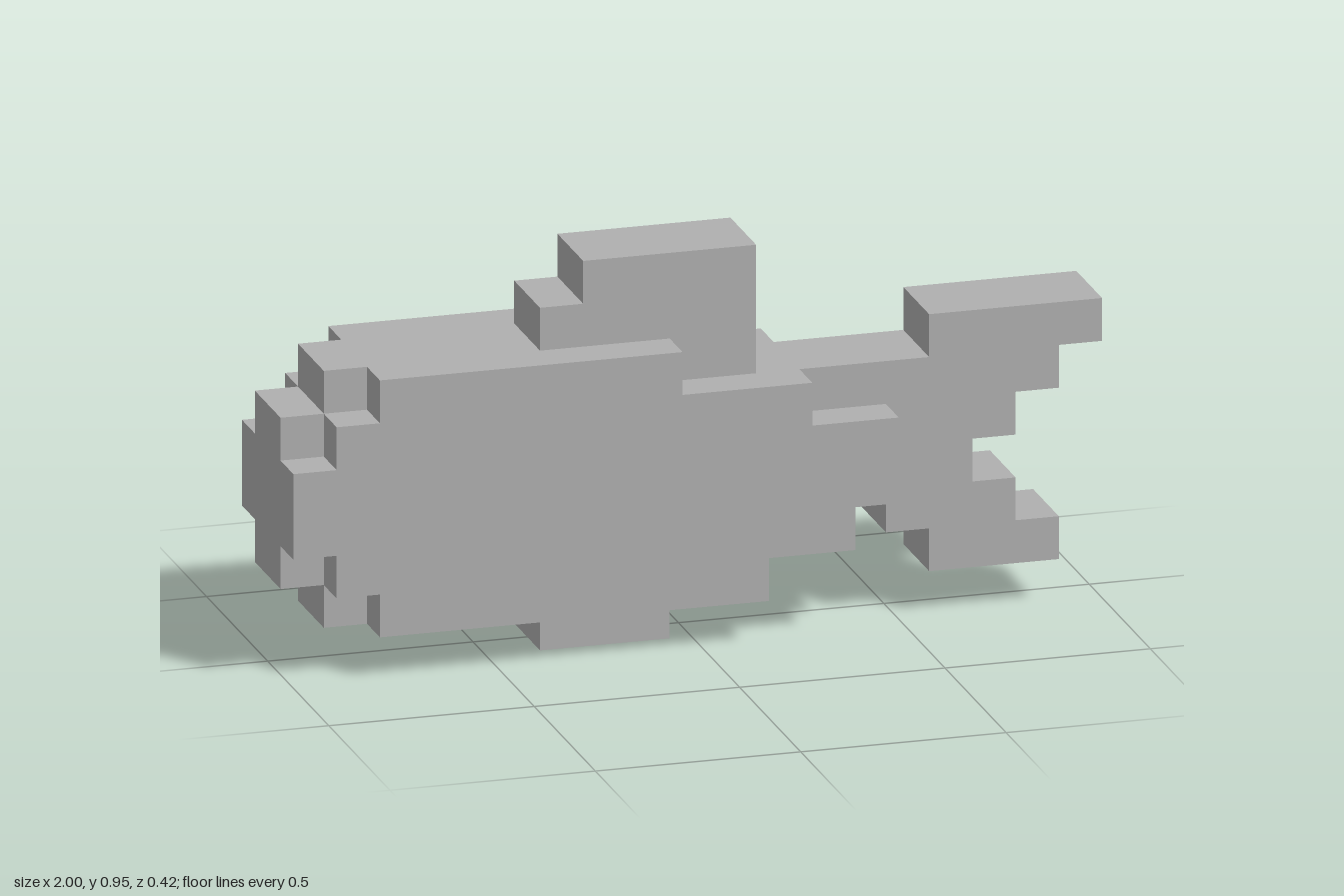
import * as THREE from 'three';

const U = 2 / 19; // one block

const grey = new THREE.MeshStandardMaterial({ color: 0xb0b0b0 });
grey.name = 'plainGrey';

// Stepped slab: outline in block units (x from the nose, y from the ground), z range in blocks
function slab(name, outline, z0, z1) {
  const shape = new THREE.Shape(outline.map(([x, y]) => new THREE.Vector2(x * U - 1, y * U)));
  const geometry = new THREE.ExtrudeGeometry(shape, { depth: (z1 - z0) * U, bevelEnabled: false });
  geometry.translate(0, 0, z0 * U);
  const mesh = new THREE.Mesh(geometry, grey);
  mesh.name = name;
  return mesh;
}

export function createModel() {
  const fish = new THREE.Group();
  fish.name = 'blockFish';

  // Middle of the body, two blocks thick
  fish.add(slab('bodyCore', [
    [0, 2], [1, 2], [1, 1], [11, 1], [11, 2], [13, 2], [13, 3], [14, 3],
    [14, 6], [11, 6], [11, 7], [1, 7], [1, 6], [0, 6],
  ], -1, 1));

  // Rounded-off flanks, one block thick on each side
  const flank = [
    [0, 3], [1, 3], [1, 2], [2, 2], [2, 1], [11, 1], [11, 2], [13, 2], [13, 3], [14, 3],
    [14, 5], [12, 5], [12, 6], [9, 6], [9, 7], [2, 7], [2, 6], [1, 6], [1, 5], [0, 5],
  ];
  fish.add(slab('frontFlank', flank, 1, 2));
  fish.add(slab('backFlank', flank, -2, -1));

  // Forked tail
  fish.add(slab('tail', [
    [14, 2], [15, 2], [15, 1], [18, 1], [18, 2], [17, 2], [17, 3], [16, 3], [16, 4],
    [17, 4], [17, 5], [18, 5], [18, 6], [19, 6], [19, 7], [15, 7], [15, 6], [14, 6],
  ], -1, 1));

  // Fins above and below
  fish.add(slab('dorsalFin', [[6, 7], [11, 7], [11, 9], [7, 9], [7, 8], [6, 8]], -1, 1));
  fish.add(slab('bellyFin', [[6, 0], [9, 0], [9, 1], [6, 1]], -1, 1));

  return fish;
}
